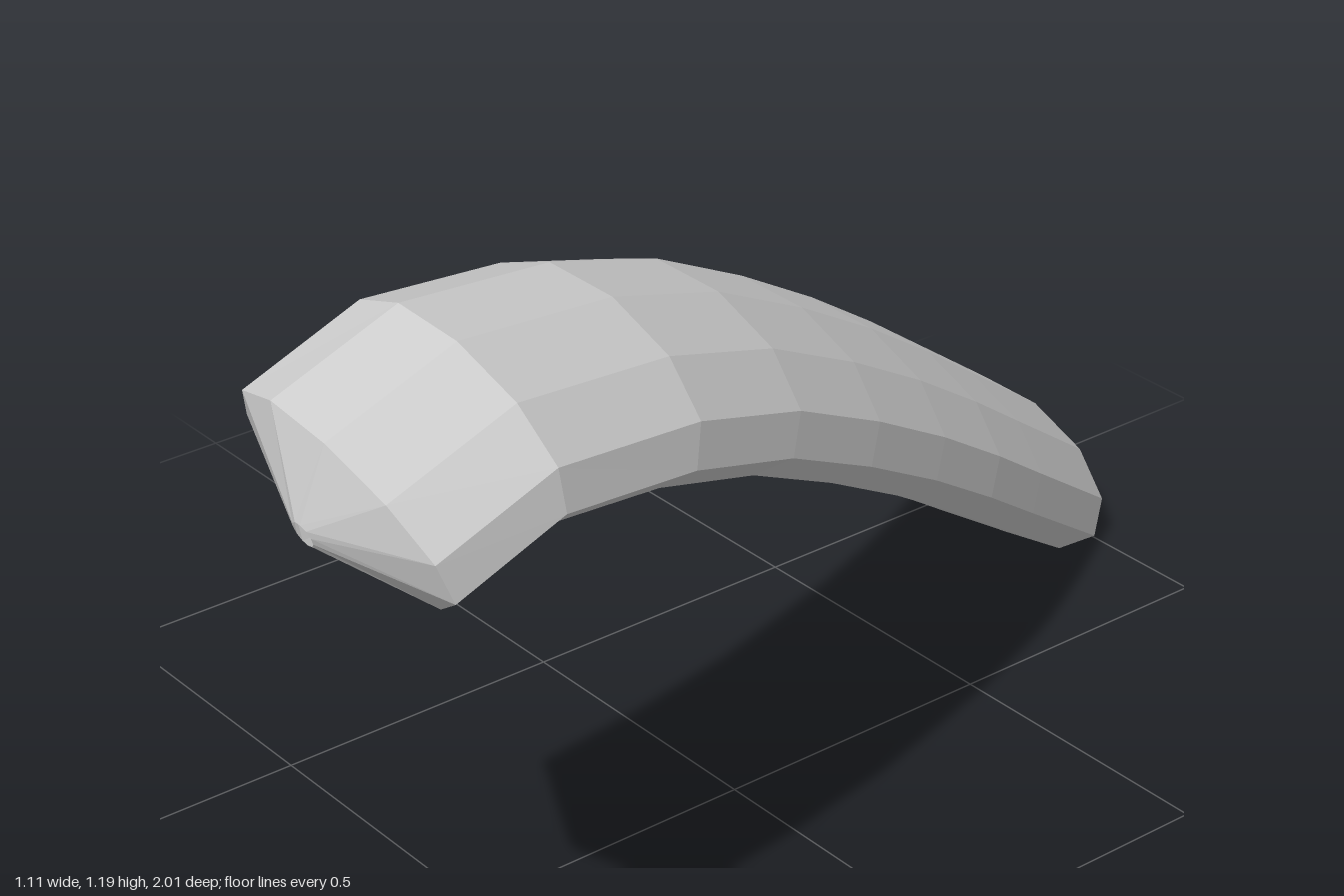
import * as THREE from 'three';

const SIDES = 11;
const HALF_WIDTH = 0.206;
const HALF_THICKNESS = 0.106;

// Centre line from the low back end to the hooked front end
const PATH = [
  [-0.378, 0.115, -0.93], [-0.183, 0.362, -0.59], [-0.08, 0.5, -0.4],
  [0.022, 0.645, -0.19], [0.123, 0.785, 0.03], [0.215, 0.913, 0.255],
  [0.303, 1.012, 0.495], [0.367, 1.065, 0.755], [0.367, 0.997, 0.93],
].map(p => new THREE.Vector3(...p));

// One oval ring of points, lying across the given direction
function ring(center, dir, a, b) {
  const wide = new THREE.Vector3(0.91, -0.39, -0.135);
  wide.addScaledVector(dir, -wide.dot(dir)).normalize();
  const thick = new THREE.Vector3().crossVectors(dir, wide);
  return Array.from({ length: SIDES }, (_, i) => {
    const t = (i / SIDES) * Math.PI * 2;
    return center.clone()
      .addScaledVector(wide, a * Math.cos(t))
      .addScaledVector(thick, b * Math.sin(t));
  });
}

// Joins successive rings with quads
function loft(rings) {
  const positions = rings.flat().flatMap(p => [p.x, p.y, p.z]);
  const index = [];
  for (let r = 0; r < rings.length - 1; r++) {
    for (let i = 0; i < SIDES; i++) {
      const j = (i + 1) % SIDES;
      const a = r * SIDES + i, b = r * SIDES + j;
      const c = b + SIDES, d = a + SIDES;
      index.push(a, b, c, a, c, d);
    }
  }
  const geometry = new THREE.BufferGeometry();
  geometry.setAttribute('position', new THREE.Float32BufferAttribute(positions, 3));
  geometry.setIndex(index);
  const flat = geometry.toNonIndexed();
  flat.computeVertexNormals();
  return flat;
}

export function createModel() {
  const group = new THREE.Group();
  group.name = 'bentBar';
  const material = new THREE.MeshStandardMaterial({
    color: 0xcccccc, flatShading: true, side: THREE.DoubleSide,
  });
  const add = (name, rings) => {
    const mesh = new THREE.Mesh(loft(rings), material);
    mesh.name = name;
    group.add(mesh);
  };

  // Directions bisect the neighbouring segments
  const last = PATH.length - 1;
  const segment = i => PATH[i + 1].clone().sub(PATH[i]).normalize();
  const dirs = PATH.map((_, i) =>
    segment(Math.max(i - 1, 0)).add(segment(Math.min(i, last - 1))).normalize());

  // Oval bar
  const rings = PATH.map((p, i) => ring(p, dirs[i], HALF_WIDTH, HALF_THICKNESS));
  add('bar', rings);

  // Shallow cones at both ends, each with a tiny opening at its tip
  const tip = (i, offset) =>
    ring(PATH[i].clone().addScaledVector(dirs[i], offset), dirs[i], 0.02, 0.02);
  add('backEnd', [tip(0, -0.07), rings[0]]);
  add('frontEnd', [rings[last], tip(last, 0.072)]);

  return group;
}
